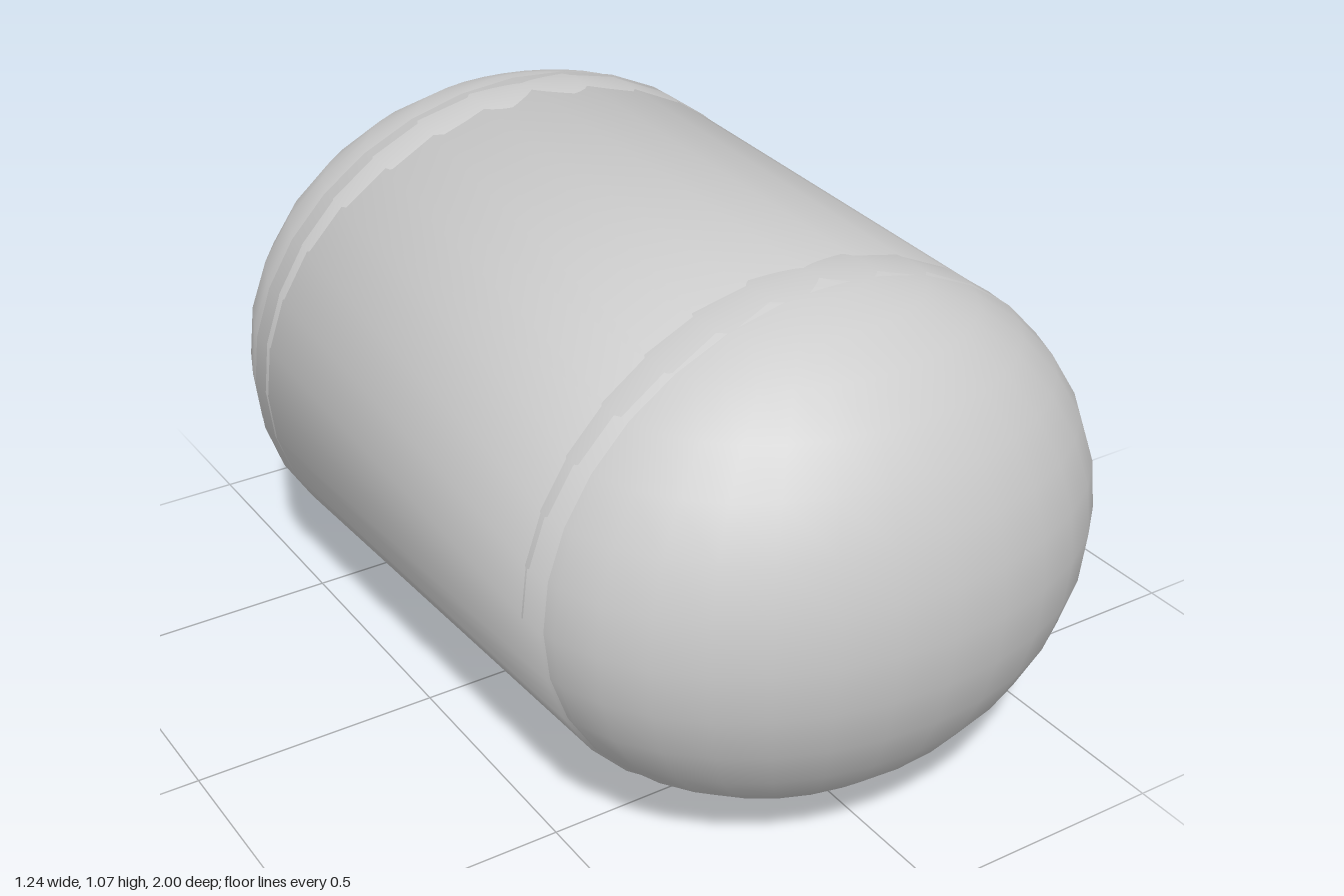
import * as THREE from 'three';
import { mergeVertices } from 'three/addons/utils/BufferGeometryUtils.js';

const CENTRE_Y = 0.539;

export function createModel() {
  const model = new THREE.Group();
  model.name = 'capsuleBody';
  const grey = new THREE.MeshStandardMaterial({ color: 0xcccccc });
  grey.name = 'plain grey';

  const add = (name, geometry, x, y, z) => {
    const mesh = new THREE.Mesh(geometry, grey);
    mesh.name = name;
    mesh.position.set(x, y, z);
    model.add(mesh);
    return mesh;
  };
  const ellipsoid = (name, [x, y, z], [rx, ry, rz], sides = 32) =>
    add(name, new THREE.SphereGeometry(1, sides, sides / 2), x, y, z).scale.set(rx, ry, rz);

  // Slightly tapered oval trunk, with normals shared across its end rims
  let trunk = new THREE.CylinderGeometry(0.585, 0.62, 1.09, 32, 1);
  trunk.rotateX(Math.PI / 2);
  trunk.scale(1, 0.865, 1);
  trunk.deleteAttribute('normal');
  trunk.deleteAttribute('uv');
  trunk = mergeVertices(trunk, 1e-4);
  trunk.computeVertexNormals();
  add('trunk', trunk, 0, CENTRE_Y, 0.065);

  // Rounded ends
  ellipsoid('frontDome', [0, CENTRE_Y + 0.002, 0.55], [0.587, 0.508, 0.45]);
  ellipsoid('backDome', [0, CENTRE_Y + 0.001, -0.43], [0.619, 0.536, 0.473]);

  // Paired knobs on the back dome
  for (const [side, s] of [['left', 1], ['right', -1]]) {
    ellipsoid(side + 'UpperKnob', [s * 0.086, 0.415, -0.923], [0.089, 0.08, 0.077]);
    ellipsoid(side + 'LowerKnob', [s * 0.115, 0.282, -0.825], [0.045, 0.046, 0.04]);
  }
  return model;
}
